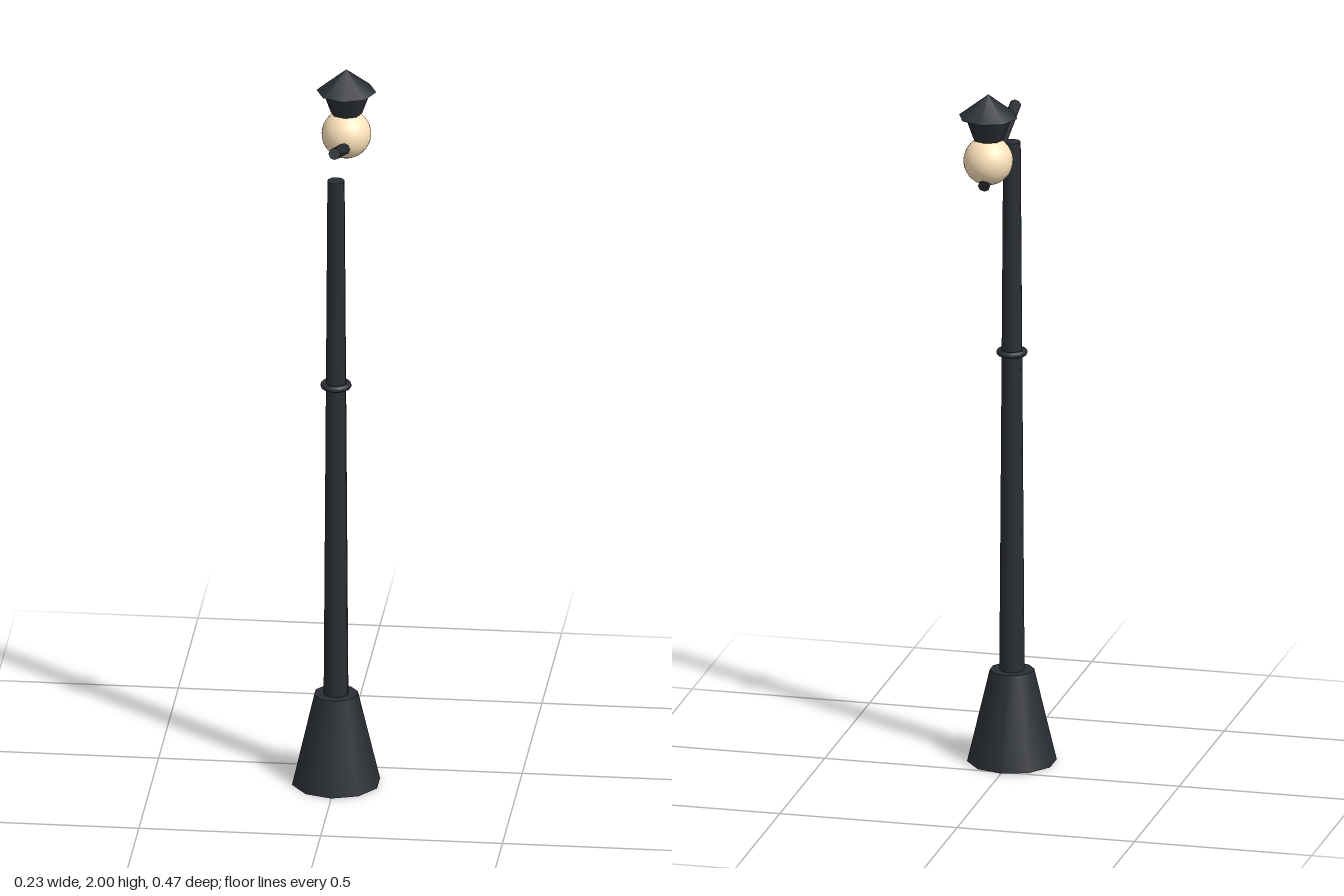
import * as THREE from 'three';

const iron = new THREE.MeshStandardMaterial({ color: 0x2a2e34 });
const glass = new THREE.MeshStandardMaterial({ color: 0xffe4bc });

const POLE_Z = 0.111;
const LAMP_Z = -0.153;

function add(group, name, geometry, material, y, z) {
  const mesh = new THREE.Mesh(geometry, material);
  mesh.name = name;
  mesh.position.set(0, y, z);
  group.add(mesh);
  return mesh;
}

// Tapered cylinder standing between two heights
function taper(group, name, rTop, rBottom, y0, y1, sides, z) {
  const geometry = new THREE.CylinderGeometry(rTop, rBottom, y1 - y0, sides);
  return add(group, name, geometry, iron, (y0 + y1) / 2, z);
}

export function createModel() {
  const lamp = new THREE.Group();
  lamp.name = 'streetLamp';

  // Foot and post
  taper(lamp, 'base', 0.061, 0.123, 0, 0.262, 10, POLE_Z);
  taper(lamp, 'pole', 0.024, 0.035, 0.2, 1.78, 10, POLE_Z);

  // Ring around the post
  const ring = add(lamp, 'poleRing', new THREE.TorusGeometry(0.034, 0.009, 8, 16), iron, 1.175, POLE_Z);
  ring.rotation.x = Math.PI / 2;

  // Sloping arm, laid between its two end points
  const high = new THREE.Vector3(0, 1.875, 0.149);
  const low = new THREE.Vector3(0, 1.75, -0.203);
  const along = high.clone().sub(low);
  const mid = high.clone().add(low).multiplyScalar(0.5);
  const arm = add(lamp, 'arm', new THREE.CylinderGeometry(0.0165, 0.0165, along.length(), 8), iron, mid.y, mid.z);
  arm.quaternion.setFromUnitVectors(new THREE.Vector3(0, 1, 0), along.normalize());

  // Lamp head: globe, flared collar and pointed roof
  add(lamp, 'globe', new THREE.SphereGeometry(0.068, 24, 16), glass, 1.81, LAMP_Z);
  taper(lamp, 'collar', 0.068, 0.043, 1.872, 1.94, 8, LAMP_Z);
  const roof = new THREE.ConeGeometry(0.082, 0.064, 8);
  add(lamp, 'roof', roof, iron, 1.968, LAMP_Z);

  return lamp;
}
